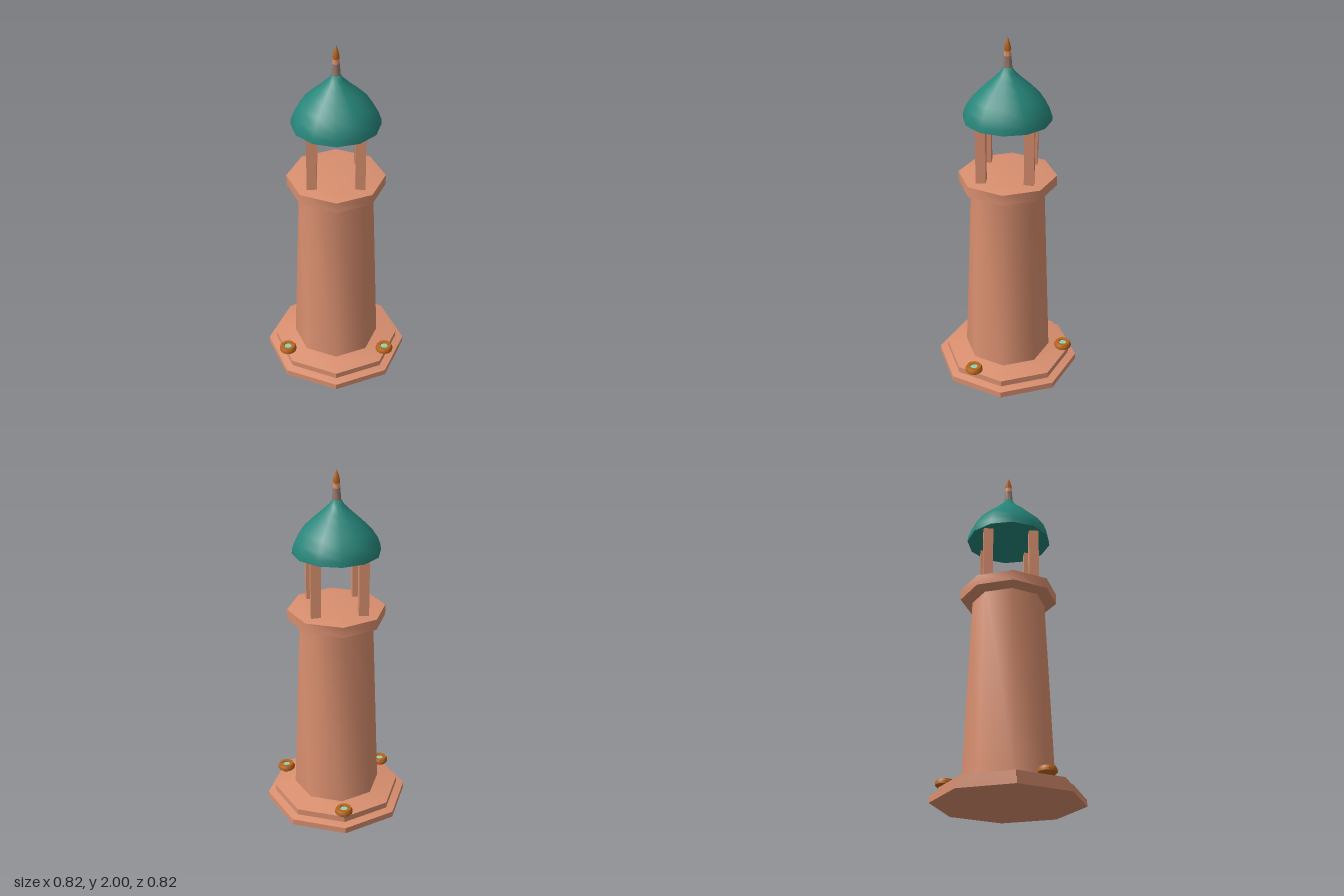
import * as THREE from 'three';
import { toCreasedNormals } from 'three/addons/utils/BufferGeometryUtils.js';

const material = (name, color) => {
  const m = new THREE.MeshStandardMaterial({ color });
  m.name = name;
  return m;
};

// Turned part from [radius, height] pairs, listed from bottom to top
function turned(name, points, sides, mat, crease = 0.9) {
  const profile = points.map(([r, y]) => new THREE.Vector2(r, y));
  const mesh = new THREE.Mesh(toCreasedNormals(new THREE.LatheGeometry(profile, sides), crease), mat);
  mesh.name = name;
  return mesh;
}

export function createModel() {
  const stone = material('salmon stone', 0xd98f6f);
  const teal = material('teal roof', 0x26857a);
  const copper = material('copper', 0xb5651d);
  const grey = material('warm grey', 0x93796c);
  const mint = material('mint glass', 0x8fd0b5);

  const model = new THREE.Group();
  model.name = 'lighthouse';

  // Octagonal stepped plinth, tapering shaft and gallery
  model.add(turned('plinth', [
    [0, 0], [0.41, 0], [0.41, 0.035], [0.365, 0.045], [0.365, 0.08], [0.24, 0.105],
  ], 8, stone, 0.6));
  model.add(turned('shaft', [[0.247, 0.1], [0.204, 1.16]], 8, stone));
  model.add(turned('gallery', [
    [0.19, 1.15], [0.205, 1.15], [0.272, 1.167], [0.272, 1.226], [0.2, 1.236], [0, 1.236],
  ], 8, stone));

  // Four square posts carrying the roof
  const postGeometry = new THREE.BoxGeometry(0.054, 0.33, 0.054);
  for (const x of [-0.129, 0.129]) {
    for (const z of [-0.129, 0.129]) {
      const post = new THREE.Mesh(postGeometry, stone);
      post.name = 'post';
      post.position.set(x, 1.39, z);
      model.add(post);
    }
  }

  // Twelve-sided ogee dome with closed underside
  model.add(turned('dome', [
    [0, 1.55], [0.24, 1.55], [0.237, 1.578], [0.222, 1.62], [0.187, 1.672],
    [0.132, 1.727], [0.08, 1.773], [0.04, 1.812], [0.02, 1.845], [0, 1.85],
  ], 12, teal));

  // Finial: stem, collar and spike
  model.add(turned('finialStem', [[0.025, 1.835], [0.02, 1.9], [0, 1.9]], 10, grey));
  model.add(turned('finialCollar', [[0.02, 1.9], [0.018, 1.925], [0, 1.925]], 10, stone));
  model.add(turned('finialSpike', [[0.016, 1.92], [0.019, 1.938], [0.012, 1.968], [0, 2]], 10, copper));

  // Three round lamps spaced evenly on the plinth
  for (let i = 0; i < 3; i++) {
    const angle = Math.PI + (i * Math.PI * 2) / 3;
    const lamp = new THREE.Group();
    lamp.name = 'lamp';
    lamp.position.set(Math.sin(angle) * 0.332, 0.08, Math.cos(angle) * 0.332);
    lamp.add(turned('lampRing', [
      [0, 0], [0.036, 0], [0.05, 0.013], [0.05, 0.027], [0.042, 0.041], [0.024, 0.041], [0.02, 0.03],
    ], 12, copper, 0.6));
    const lens = new THREE.Mesh(new THREE.CircleGeometry(0.0215, 12), mint);
    lens.name = 'lampLens';
    lens.rotation.x = -Math.PI / 2;
    lens.position.y = 0.034;
    lamp.add(lens);
    model.add(lamp);
  }
  return model;
}
